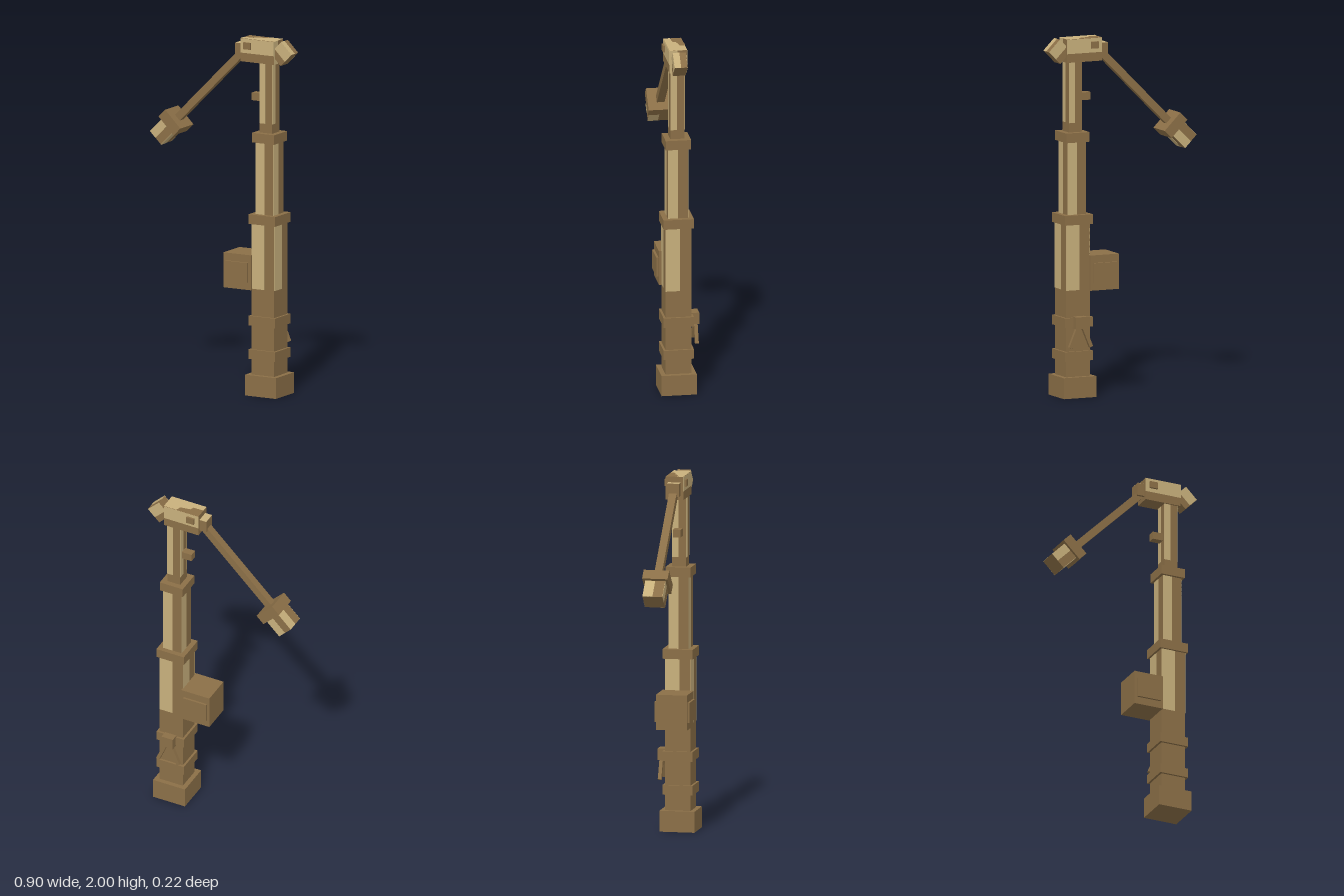
import * as THREE from 'three';

const brown = new THREE.MeshStandardMaterial({ color: 0x8b6f47 });
brown.name = 'bronzeBrown';
const tan = new THREE.MeshStandardMaterial({ color: 0xc8b07c });
tan.name = 'wornTan';

function box(parent, name, size, pos, mat = brown) {
  const mesh = new THREE.Mesh(new THREE.BoxGeometry(...size), mat);
  mesh.name = name;
  mesh.position.set(...pos);
  parent.add(mesh);
  return mesh;
}

// Thin worn strip on the left-hand part of each of the four sides of a square post
function wornSides(parent, name, width, depth, y0, y1, share = 0.5) {
  for (let i = 0; i < 4; i++) {
    const side = new THREE.Group();
    side.name = name;
    side.rotation.y = i * Math.PI / 2;
    const w = i % 2 ? depth : width;
    const out = (i % 2 ? width : depth) / 2;
    box(side, name, [w * share, y1 - y0, 0.002], [-w * (1 - share) / 2, (y0 + y1) / 2, out], tan);
    parent.add(side);
  }
}

export function createModel() {
  const model = new THREE.Group();
  model.name = 'lampPost';
  const Z = 0.01;

  // Stepped mast with collars
  const mast = new THREE.Group();
  mast.name = 'mast';
  mast.position.set(0.284, 0, Z);
  model.add(mast);
  box(mast, 'base', [0.198, 0.117, 0.198], [0, 0.0585, 0]);
  const shafts = [
    ['lowerShaft', 0.145, 0.1, 1.0, 0.6, 0.966, 0.56],
    ['middleShaft', 0.113, 1.0, 1.45, 1.02, 1.425, 0.5],
    ['upperShaft', 0.08, 1.45, 1.89, 1.53, 1.87, 0.45],
  ];
  for (const [name, w, y0, y1, p0, p1, share] of shafts) {
    box(mast, name, [w, y1 - y0, w], [0, (y0 + y1) / 2, 0]);
    wornSides(mast, name + 'WornStrip', w, w, p0, p1, share);
  }
  for (const [y, w] of [[0.232, 0.17], [0.421, 0.17], [0.993, 0.17], [1.451, 0.142]]) {
    box(mast, 'collar', [w, 0.054, w], [0, y, 0]);
  }
  box(mast, 'peg', [0.07, 0.043, 0.044], [-0.066, 1.672, 0]);

  // Control box with a raised panel on each face
  box(model, 'controlBox', [0.175, 0.197, 0.174], [0.1275, 0.6915, Z]);
  for (const s of [-1, 1]) {
    box(model, 'controlPanel', [0.143, 0.112, 0.014], [0.126, 0.691, Z + s * 0.092]);
  }

  // Rear bracket with splayed prongs
  box(model, 'rearBracket', [0.07, 0.066, 0.046], [0.284, 0.422, -0.089]);
  for (const s of [-1, 1]) {
    const prong = box(model, 'rearProng', [0.02, 0.135, 0.02], [0.284 + s * 0.037, 0.347, -0.094]);
    prong.rotation.z = s * 0.4;
  }

  // Head housing
  const head = new THREE.Group();
  head.name = 'head';
  head.position.set(0.233, 1.934, Z - 0.001);
  model.add(head);
  box(head, 'headHousing', [0.214, 0.13, 0.1], [0, 0, 0]);
  for (const s of [-1, 1]) {
    box(head, 'sideKnob', [0.046, 0.038, 0.012], [-0.06, 0.026, s * 0.056]);
    box(head, 'headWornSide', [0.214, 0.08, 0.002], [0, 0.024, s * 0.05], tan);
  }
  box(head, 'headWornEnd', [0.002, 0.13, 0.045], [0.107, 0, 0.026], tan);
  // Worn patch on the head's top face
  const patch = new THREE.Shape([[-0.107, -0.049], [0.107, -0.049], [0.107, 0.049],
    [0.03, 0.049], [0.02, 0.02], [-0.04, 0.01], [-0.045, -0.01], [-0.107, -0.012]]
    .map(p => new THREE.Vector2(...p)));
  const top = new THREE.Mesh(new THREE.ShapeGeometry(patch), tan);
  top.name = 'headWornTop';
  top.rotation.x = -Math.PI / 2;
  top.position.y = 0.0658;
  head.add(top);
  box(head, 'armSocket', [0.045, 0.073, 0.07], [-0.1265, -0.004, 0]);
  box(head, 'armSocketWornTop', [0.044, 0.002, 0.07], [-0.1265, 0.0325, 0], tan);

  // Tilted end block
  const tip = new THREE.Group();
  tip.name = 'tiltedTip';
  tip.position.set(0.377, 1.932, Z - 0.001);
  tip.rotation.z = Math.PI / 4;
  model.add(tip);
  box(tip, 'tipBlock', [0.098, 0.094, 0.072], [0, 0, 0]);
  box(tip, 'tipWornFace', [0.002, 0.094, 0.036], [0.049, 0, 0.018], tan);
  for (const s of [-1, 1]) {
    box(tip, 'tipWornSide', [0.06, 0.094, 0.002], [0.019, 0, s * 0.036], tan);
  }

  // Slanted arm; local y runs up the arm
  const arm = new THREE.Group();
  arm.name = 'arm';
  arm.position.set(-0.316, 1.4815, Z - 0.002);
  arm.rotation.z = -Math.PI / 4;
  model.add(arm);
  box(arm, 'armBar', [0.042, 0.6, 0.043], [0, 0.3, 0]);
  box(arm, 'weightPlate', [0.137, 0.06, 0.144], [0, 0, 0]);
  box(arm, 'weightBlock', [0.1, 0.115, 0.113], [0, -0.0815, 0]);
  wornSides(arm, 'weightWornStrip', 0.1, 0.113, -0.139, -0.031);
  return model;
}
